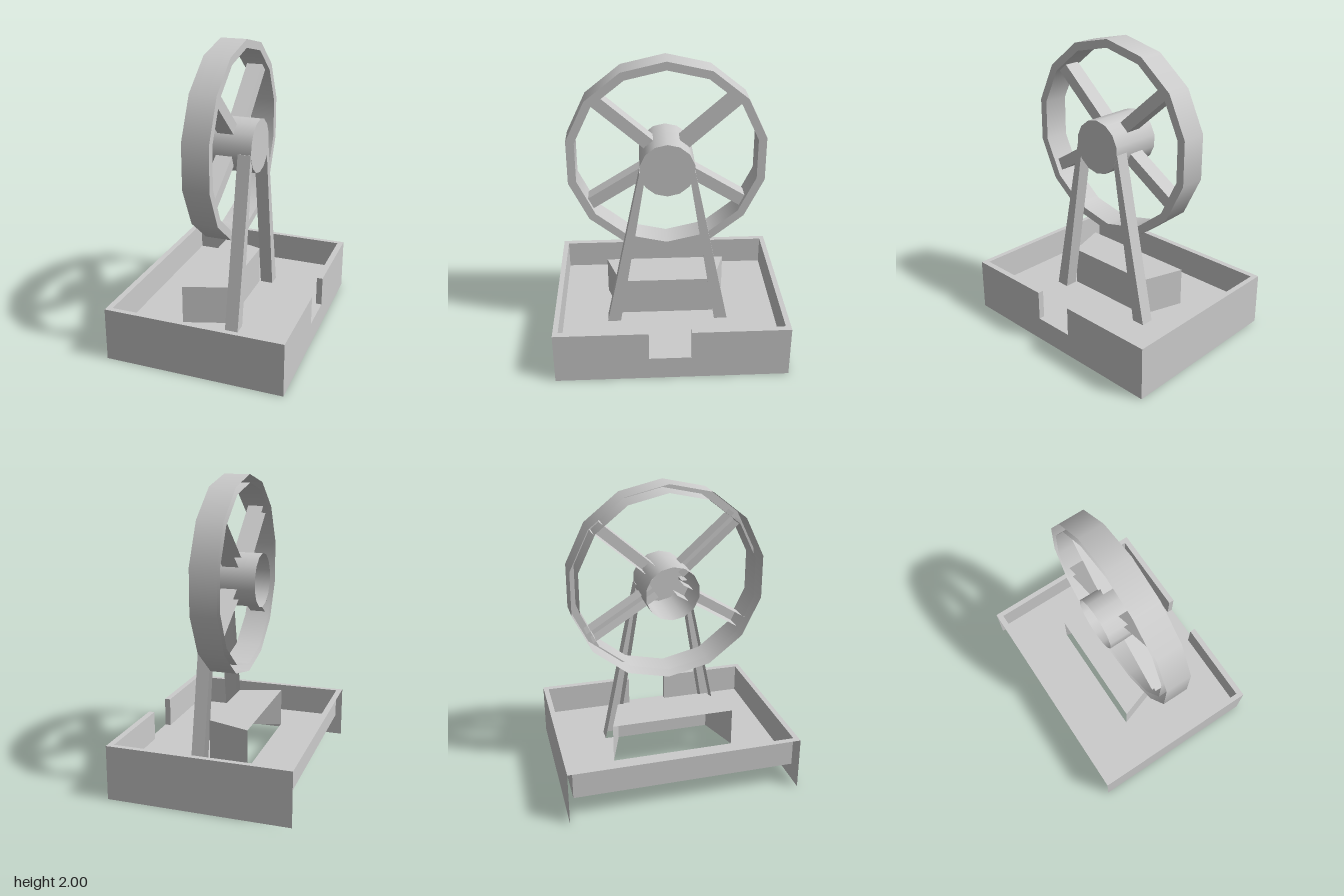
import * as THREE from 'three';

const mat = new THREE.MeshStandardMaterial({ color: 0xcccccc, side: THREE.DoubleSide });
const SIDES = 14, CZ = 0.013; // wheel facets and wheel centre in z
const WHEEL_Y = 1.342, HUB_Y = 1.315;

function mesh(name, geometry, parent) {
  const m = new THREE.Mesh(geometry, mat);
  m.name = name;
  parent.add(m);
  return m;
}

// Flat-shaded sheet made of convex polygons, each a list of [x, y, z] corners
function sheet(polys) {
  const pos = [];
  for (const p of polys)
    for (let i = 1; i < p.length - 1; i++) pos.push(...p[0], ...p[i], ...p[i + 1]);
  const g = new THREE.BufferGeometry();
  g.setAttribute('position', new THREE.Float32BufferAttribute(pos, 3));
  g.computeVertexNormals();
  return g;
}

// Folded bar: [z, y] profile run along x, closed at x1 and open at x0
function channel(profile, x0, x1, skip = []) {
  const polys = [profile.map(([z, y]) => [x1, y, z])];
  profile.forEach(([z, y], i) => {
    if (skip.includes(i)) return;
    const [z2, y2] = profile[(i + 1) % profile.length];
    polys.push([[x0, y, z], [x0, y2, z2], [x1, y2, z2], [x1, y, z]]);
  });
  return sheet(polys);
}

// Faceted tube around the x axis with smooth normals
function drum(r, x0, x1) {
  return new THREE.CylinderGeometry(r, r, x1 - x0, SIDES, 1, true, Math.PI / 2)
    .rotateZ(-Math.PI / 2).translate((x0 + x1) / 2, 0, 0);
}

function buildTray(root) {
  const tray = new THREE.Group();
  tray.name = 'tray';
  root.add(tray);
  const X = 0.6, Z = 0.775, x = 0.56, z = 0.74, H = 0.36, F = 0.16;
  const n0 = -0.125, n1 = 0.155; // notch in the +x wall

  mesh('outerWalls', sheet([
    [[-X, 0, Z], [X, 0, Z], [X, H, Z], [-X, H, Z]],
    [[X, 0, -Z], [-X, 0, -Z], [-X, H, -Z], [X, H, -Z]],
    [[X, 0, Z], [X, 0, n1], [X, H, n1], [X, H, Z]],
    [[X, 0, n1], [X, 0, n0], [X, F, n0], [X, F, n1]],
    [[X, 0, n0], [X, 0, -Z], [X, H, -Z], [X, H, n0]],
  ]), tray);

  mesh('innerWalls', sheet([
    [[x, F, z], [-x, F, z], [-x, H, z], [x, H, z]],
    [[-x, F, -z], [x, F, -z], [x, H, -z], [-x, H, -z]],
    [[-x, F, z], [-x, F, -z], [-x, H, -z], [-x, H, z]],
    [[x, F, n1], [x, F, z], [x, H, z], [x, H, n1]],
    [[x, F, -z], [x, F, n0], [x, H, n0], [x, H, -z]],
  ]), tray);

  const top = (xa, xb, za, zb) => [[xa, H, zb], [xb, H, zb], [xb, H, za], [xa, H, za]];
  mesh('topEdge', sheet([
    top(-X, X, z, Z), top(-X, X, -Z, -z), top(-X, -x, -z, z),
    top(x, X, n1, z), top(x, X, -z, n0),
  ]), tray);

  mesh('notch', sheet([
    [[x, F, n1], [X, F, n1], [X, F, n0], [x, F, n0]],
    [[x, F, n0], [X, F, n0], [X, H, n0], [x, H, n0]],
    [[X, F, n1], [x, F, n1], [x, H, n1], [X, H, n1]],
  ]), tray);

  // Raised tapered block, open below and on one long side
  const T = 0.425, bx0 = -0.21, bx1 = 0.08, wide = 0.42, slim = 0.325;
  const foot = [[bx0, CZ + wide], [bx1, CZ + slim], [bx1, CZ - slim], [bx0, CZ - wide]];
  const blockPolys = [foot.map(([a, b]) => [a, T, b])];
  for (let i = 0; i < 3; i++) {
    const [a, b] = foot[i], [c, d] = foot[i + 1];
    blockPolys.push([[a, F, b], [c, F, d], [c, T, d], [a, T, b]]);
  }
  mesh('raisedBlock', sheet(blockPolys), tray);

  // Floor with openings under the block and the legs
  const path = (pts) => pts.map(([a, b]) => new THREE.Vector2(a, -b));
  const floor = new THREE.Shape(path([[-x, z], [x, z], [x, -z], [-x, -z]]));
  const holes = [foot];
  for (const s of [1, -1]) {
    const a = CZ + s * 0.417, b = CZ + s * 0.327;
    holes.push([[0.09, a], [0.178, a], [0.178, b], [0.09, b]]);
  }
  for (const h of holes) floor.holes.push(new THREE.Path(path(h)));
  mesh('floor', new THREE.ShapeGeometry(floor).rotateX(-Math.PI / 2).translate(0, F, 0), tray);
}

function buildLegs(root) {
  const half = [[0.417, 0.16], [0.327, 0.16], [0.138, 1.3], [0.179, 1.3]];
  mesh('frontLeg', channel(half.map(([z, y]) => [CZ + z, y]), 0.09, 0.178, [0]), root);
  const back = half.map(([z, y]) => [CZ - z, y]).reverse();
  mesh('backLeg', channel(back, 0.09, 0.178, [2]), root);
}

function buildWheel(root) {
  const wheel = new THREE.Group();
  wheel.name = 'wheel';
  wheel.position.set(0, WHEEL_Y, CZ);
  root.add(wheel);

  // Hollow rim, open on one side
  const x0 = -0.09, x1 = 0.085, R = 0.658, r = 0.603;
  mesh('rimOuter', drum(R, x0, x1), wheel);
  mesh('rimInner', drum(r, x0, x1), wheel);
  mesh('rimFace', new THREE.RingGeometry(r, R, SIDES, 1, Math.PI / 2)
    .rotateY(Math.PI / 2).translate(x1, 0, 0), wheel);

  // Four spokes, the upper pair steeper than the lower pair
  for (const deg of [41.5, 138.5, 212, 328]) {
    const w = 0.04, a = 0.1, b = 0.62;
    const spoke = mesh('spoke',
      channel([[-a, -w], [-b, -w], [-b, w], [-a, w]], -0.06, 0.05, [1, 3]), wheel);
    spoke.rotation.x = THREE.MathUtils.degToRad(deg);
  }
}

function buildHub(root) {
  const hub = new THREE.Group();
  hub.name = 'hub';
  hub.position.set(0, HUB_Y, CZ);
  root.add(hub);
  mesh('hubBarrel', drum(0.18, -0.18, 0.18), hub);
  mesh('hubCap', new THREE.CircleGeometry(0.18, SIDES, Math.PI / 2)
    .rotateY(Math.PI / 2).translate(0.18, 0, 0), hub);
}

export function createModel() {
  const root = new THREE.Group();
  root.name = 'wheelOnTray';
  buildTray(root);
  buildLegs(root);
  buildWheel(root);
  buildHub(root);
  return root;
}
